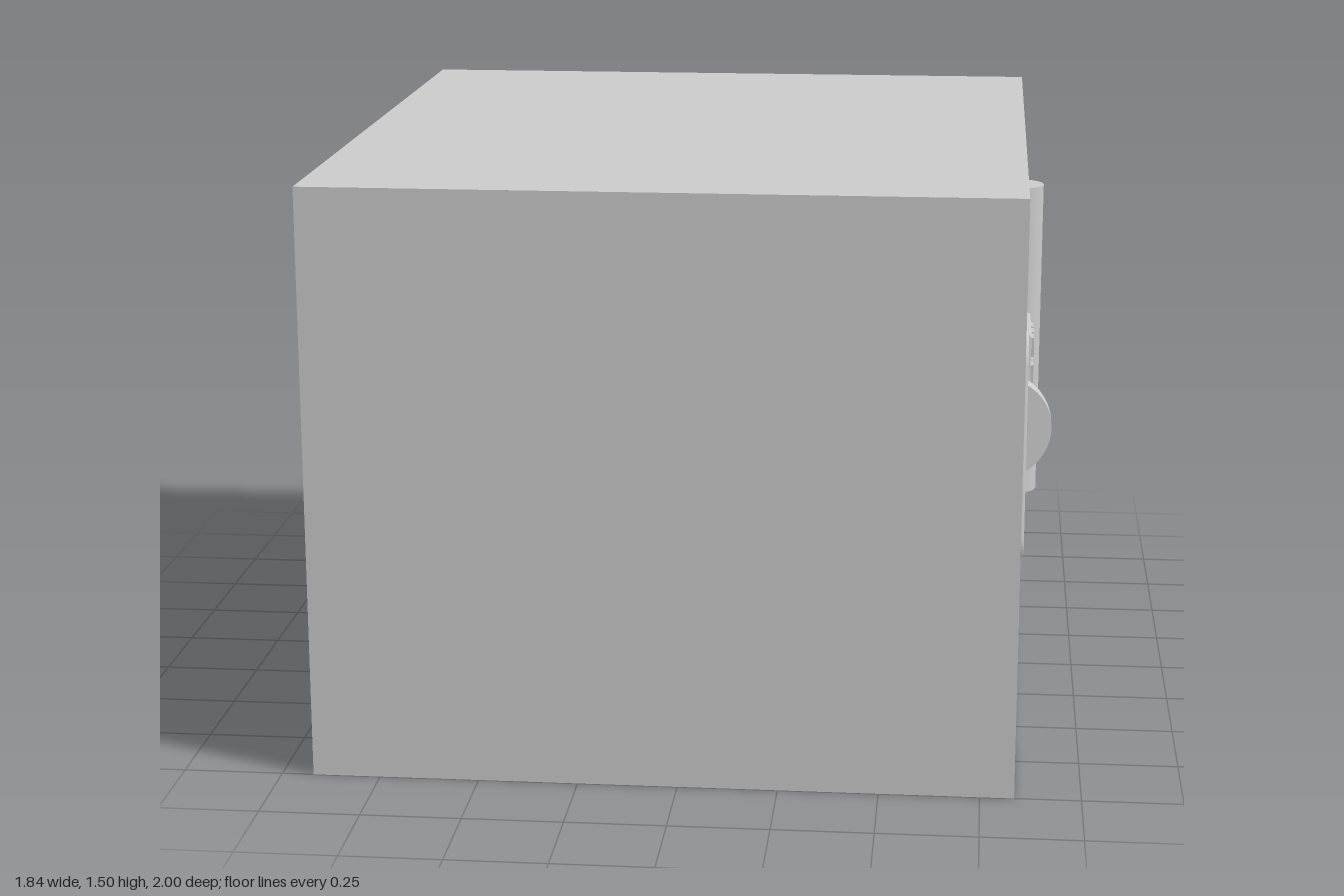
import * as THREE from 'three';
import { toCreasedNormals } from 'three/addons/utils/BufferGeometryUtils.js';

const material = new THREE.MeshStandardMaterial({ color: 0xcccccc, side: THREE.DoubleSide });
const DOOR = 0.835; // x of the door face
const DIAL = { y: 0.75, z: 0.24, r: 0.157 };

function add(group, name, geometry, x = 0, y = 0, z = 0) {
  const mesh = new THREE.Mesh(geometry, material);
  mesh.name = name;
  mesh.position.set(x, y, z);
  group.add(mesh);
  return mesh;
}

// Rounded rectangle in the door plane: u runs along -z, v along y
function roundedRect(u0, u1, v0, v1, r) {
  const s = new THREE.Shape();
  s.moveTo(u0 + r, v0);
  s.lineTo(u1 - r, v0);
  s.absarc(u1 - r, v0 + r, r, -Math.PI / 2, 0);
  s.lineTo(u1, v1 - r);
  s.absarc(u1 - r, v1 - r, r, 0, Math.PI / 2);
  s.lineTo(u0 + r, v1);
  s.absarc(u0 + r, v1 - r, r, Math.PI / 2, Math.PI);
  s.lineTo(u0, v0 + r);
  s.absarc(u0 + r, v0 + r, r, Math.PI, Math.PI * 1.5);
  return s;
}

function dialHole(r) {
  return new THREE.Path().absarc(-DIAL.z, DIAL.y, r, 0, Math.PI * 2, true);
}

// Extrude a door-plane shape outwards between x0 and x1, with an optional bevel
function outward(shape, x0, x1, bevel = 0) {
  const g = new THREE.ExtrudeGeometry(shape, {
    depth: x1 - x0 - 2 * bevel,
    bevelEnabled: bevel > 0,
    bevelThickness: bevel,
    bevelSize: bevel,
    bevelOffset: -bevel,
    bevelSegments: 3,
    curveSegments: 24,
  });
  g.translate(0, 0, x0 + bevel).rotateY(Math.PI / 2);
  return toCreasedNormals(g, 0.6);
}

export function createModel() {
  const safe = new THREE.Group();
  safe.name = 'safe';

  // Body, with a door slab opened for the dial
  const slabBack = 0.79;
  const left = -0.92;
  add(safe, 'body', new THREE.BoxGeometry(slabBack - left, 1.5, 2), (slabBack + left) / 2, 0.75, 0);
  const slab = new THREE.Shape([[-1, 0], [1, 0], [1, 1.5], [-1, 1.5]].map(([u, v]) => new THREE.Vector2(u, v)));
  slab.holes.push(dialHole(DIAL.r + 0.002));
  add(safe, 'door', outward(slab, slabBack, DOOR));

  // Control plate with softened edges
  const plate = roundedRect(-0.52, 0.52, 0.45, 1.055, 0.075);
  plate.holes.push(dialHole(DIAL.r));
  add(safe, 'controlPlate', outward(plate, 0.815, 0.851, 0.012));

  // Sunken dial cup
  const cup = new THREE.LatheGeometry(
    [[0, 0.81], [DIAL.r, 0.81], [DIAL.r, 0.84]].map(([r, h]) => new THREE.Vector2(r, h)), 48);
  cup.rotateZ(-Math.PI / 2);
  add(safe, 'dialCup', toCreasedNormals(cup, 0.6), 0, DIAL.y, DIAL.z);

  // Turning grip: a half disc that narrows towards its crest
  const R = 0.138, crest = 0.92, base = 0.81;
  const profile = new THREE.Shape();
  const a = Math.acos((0.85 - (crest - R)) / R);
  profile.moveTo(base, -R * Math.sin(a));
  profile.absarc(crest - R, 0, R, -a, a);
  profile.lineTo(base, R * Math.sin(a));
  const grip = new THREE.ExtrudeGeometry(profile, { depth: 0.07, bevelEnabled: false, curveSegments: 32 });
  grip.translate(0, 0, -0.035);
  const p = grip.attributes.position;
  for (let i = 0; i < p.count; i++) {
    p.setZ(i, p.getZ(i) * (1 - 0.4 * Math.max(0, (p.getX(i) - 0.84) / (crest - 0.84))));
  }
  add(safe, 'dialGrip', toCreasedNormals(grip, 0.6), 0, DIAL.y, DIAL.z);

  // Keypad with three columns and four rows of keys
  const keypad = new THREE.Group();
  keypad.name = 'keypad';
  safe.add(keypad);
  add(keypad, 'keypadBase', outward(roundedRect(0.108, 0.37, 0.58, 0.92, 0.012), 0.84, 0.868, 0.004));
  for (let row = 0; row < 4; row++) {
    for (let col = 0; col < 3; col++) {
      add(keypad, 'key', new THREE.BoxGeometry(0.018, 0.054, 0.054),
        0.867, 0.872 - row * 0.078, -0.172 - col * 0.068);
    }
  }

  // Upright half-round hinge cover
  const hinge = new THREE.CylinderGeometry(0.077, 0.077, 0.93, 48);
  add(safe, 'hingeCover', hinge, 0.828, 0.745, -0.81);

  return safe;
}
